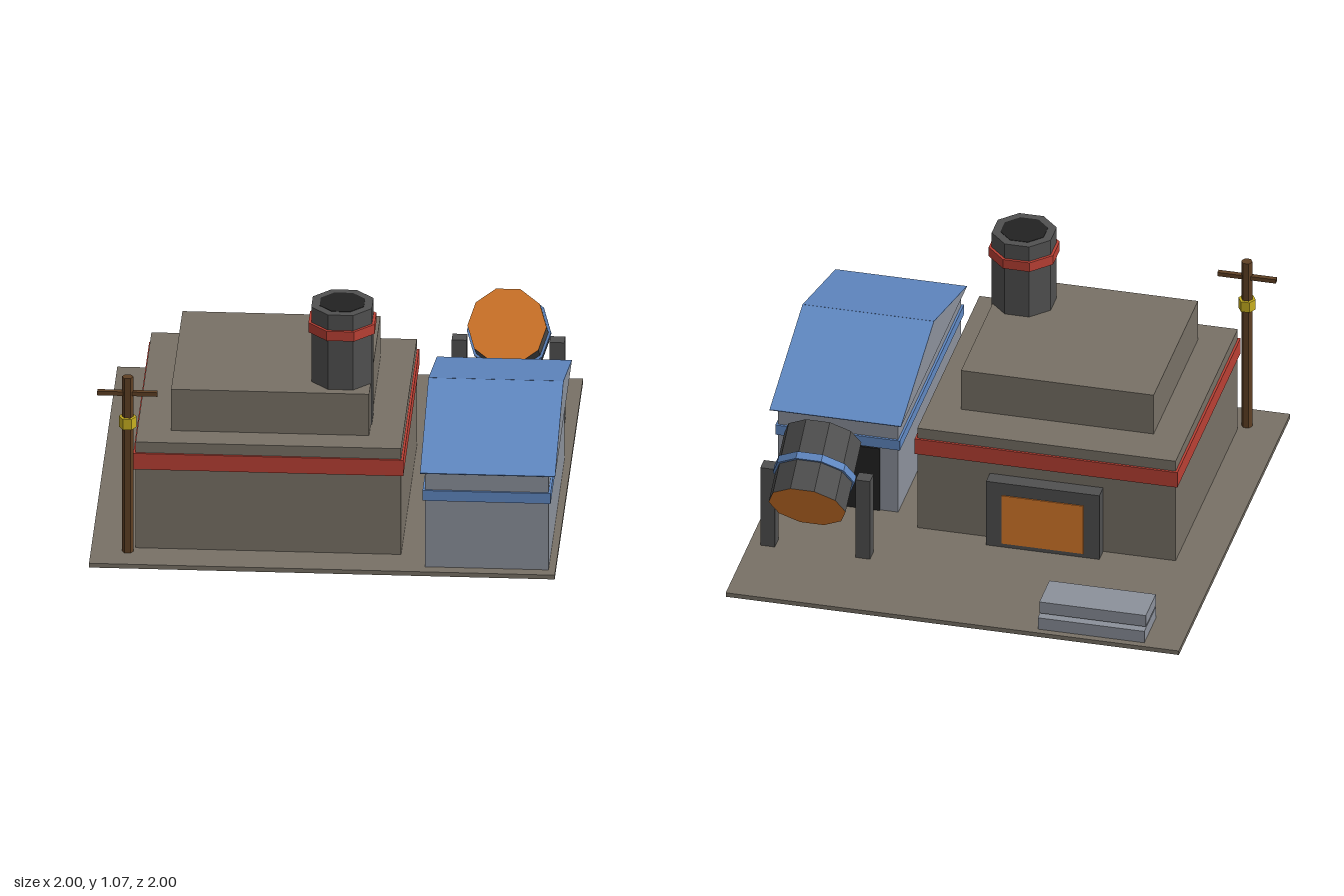
import * as THREE from 'three';

const material = (name, color, flat = true) => {
  const m = new THREE.MeshStandardMaterial({ color, flatShading: flat });
  m.name = name;
  return m;
};

export function createModel() {
  const stone = material('stone', 0x787166);
  const red = material('red trim', 0xba4034);
  const iron = material('dark iron', 0x505050);
  const soot = material('soot black', 0x222222);
  const wall = material('grey wall', 0x8c919b);
  const blue = material('blue', 0x6088c2);
  const molten = material('molten orange', 0xd97a2b);
  const wood = material('wood', 0x5f4024);
  const yellow = material('yellow', 0xc9b020);

  const group = (name, parent) => {
    const g = new THREE.Group();
    g.name = name;
    if (parent) parent.add(g);
    return g;
  };
  const add = (parent, name, geometry, mat, x = 0, y = 0, z = 0) => {
    const mesh = new THREE.Mesh(geometry, mat);
    mesh.name = name;
    mesh.position.set(x, y, z);
    parent.add(mesh);
    return mesh;
  };
  // Box given by its low and high limits on each axis
  const box = (parent, name, mat, [x0, x1], [y0, y1], [z0, z1]) =>
    add(parent, name, new THREE.BoxGeometry(x1 - x0, y1 - y0, z1 - z0), mat,
      (x0 + x1) / 2, (y0 + y1) / 2, (z0 + z1) / 2);
  // Upright prism with regular sides
  const prism = (parent, name, mat, r, sides, turn, [y0, y1], x, z) =>
    add(parent, name, new THREE.CylinderGeometry(r, r, y1 - y0, sides).rotateY(turn), mat,
      x, (y0 + y1) / 2, z);

  const model = group('foundry');
  box(model, 'ground', stone, [-1, 1], [0, 0.02], [-1, 1]);

  // Stepped main building
  const hall = group('mainBuilding', model);
  box(hall, 'hallBody', stone, [-0.81, 0.33], [0.02, 0.52], [-0.285, 0.83]);
  box(hall, 'hallBand', red, [-0.82, 0.34], [0.395, 0.47], [-0.295, 0.84]);
  box(hall, 'hallUpperStep', stone, [-0.665, 0.185], [0.52, 0.715], [-0.09, 0.705]);

  // Furnace mouth on the back wall
  box(hall, 'furnaceFrame', iron, [-0.49, 0.01], [0.02, 0.34], [-0.353, -0.285]);
  box(hall, 'furnaceGlow', molten, [-0.42, -0.06], [0.04, 0.28], [-0.358, -0.353]);

  // Chimney
  const chimney = group('chimney', model);
  const eighth = Math.PI / 8;
  prism(chimney, 'chimneyStack', iron, 0.141, 8, eighth, [0.5, 1.067], 0.06, 0.535);
  prism(chimney, 'chimneyBand', red, 0.154, 8, eighth, [0.95, 0.995], 0.06, 0.535);
  prism(chimney, 'chimneyMouth', soot, 0.103, 8, eighth, [1.062, 1.069], 0.06, 0.535);

  // Gabled side building
  const shed = group('sideBuilding', model);
  box(shed, 'shedBody', wall, [0.44, 0.97], [0.02, 0.472], [-0.182, 0.948]);
  box(shed, 'shedBand', blue, [0.43, 0.98], [0.337, 0.385], [-0.192, 0.958]);
  box(shed, 'shedDoor', soot, [0.52, 0.89], [0.02, 0.33], [-0.189, -0.182]);
  const half = 0.592, rise = 0.176, eaves = 0.47, ridgeZ = 0.378;
  const gable = new THREE.Shape([
    new THREE.Vector2(-half, 0), new THREE.Vector2(half, 0), new THREE.Vector2(0, rise),
  ]);
  const gableGeometry = new THREE.ExtrudeGeometry(gable, { depth: 0.58, bevelEnabled: false })
    .rotateY(Math.PI / 2);
  add(shed, 'gable', gableGeometry, wall, 0.42, eaves, ridgeZ);
  for (const s of [-1, 1]) {
    const slope = add(shed, s > 0 ? 'roofFront' : 'roofBack',
      new THREE.BoxGeometry(0.58, 0.004, Math.hypot(half, rise)), blue,
      0.71, eaves + rise / 2 + 0.001, ridgeZ + s * half / 2);
    slope.rotation.x = s * Math.atan2(rise, half);
  }

  // Tilted crucible between two posts
  const crucible = group('crucible', model);
  crucible.position.set(0.707, 0.425, -0.59);
  crucible.rotation.x = 1;
  const tenth = Math.PI / 10;
  add(crucible, 'crucibleBody', new THREE.CylinderGeometry(0.17, 0.17, 0.335, 10).rotateY(tenth),
    [iron, molten, molten]);
  add(crucible, 'crucibleBand', new THREE.CylinderGeometry(0.181, 0.181, 0.034, 10).rotateY(tenth),
    blue, 0, -0.01, 0);
  for (const s of [-1, 1]) {
    const x = 0.707 + s * 0.21;
    box(model, 'cruciblePost', iron, [x - 0.032, x + 0.032], [0.02, 0.41], [-0.586, -0.522]);
  }

  // Stacked metal slabs
  box(model, 'lowerSlab', wall, [-0.84, -0.37], [0.02, 0.077], [-0.97, -0.762]);
  box(model, 'upperSlab', wall, [-0.84, -0.37], [0.084, 0.14], [-0.942, -0.762]);

  // Wooden pole with crossbar
  const pole = group('utilityPole', model);
  const quarter = Math.PI / 2;
  prism(pole, 'poleShaft', wood, 0.025, 6, quarter, [0.02, 0.845], -0.842, 0.866);
  prism(pole, 'poleCollar', yellow, 0.038, 6, quarter, [0.608, 0.658], -0.842, 0.866);
  box(pole, 'poleCrossbar', wood, [-0.972, -0.714], [0.758, 0.777], [0.855, 0.877]);

  return model;
}
